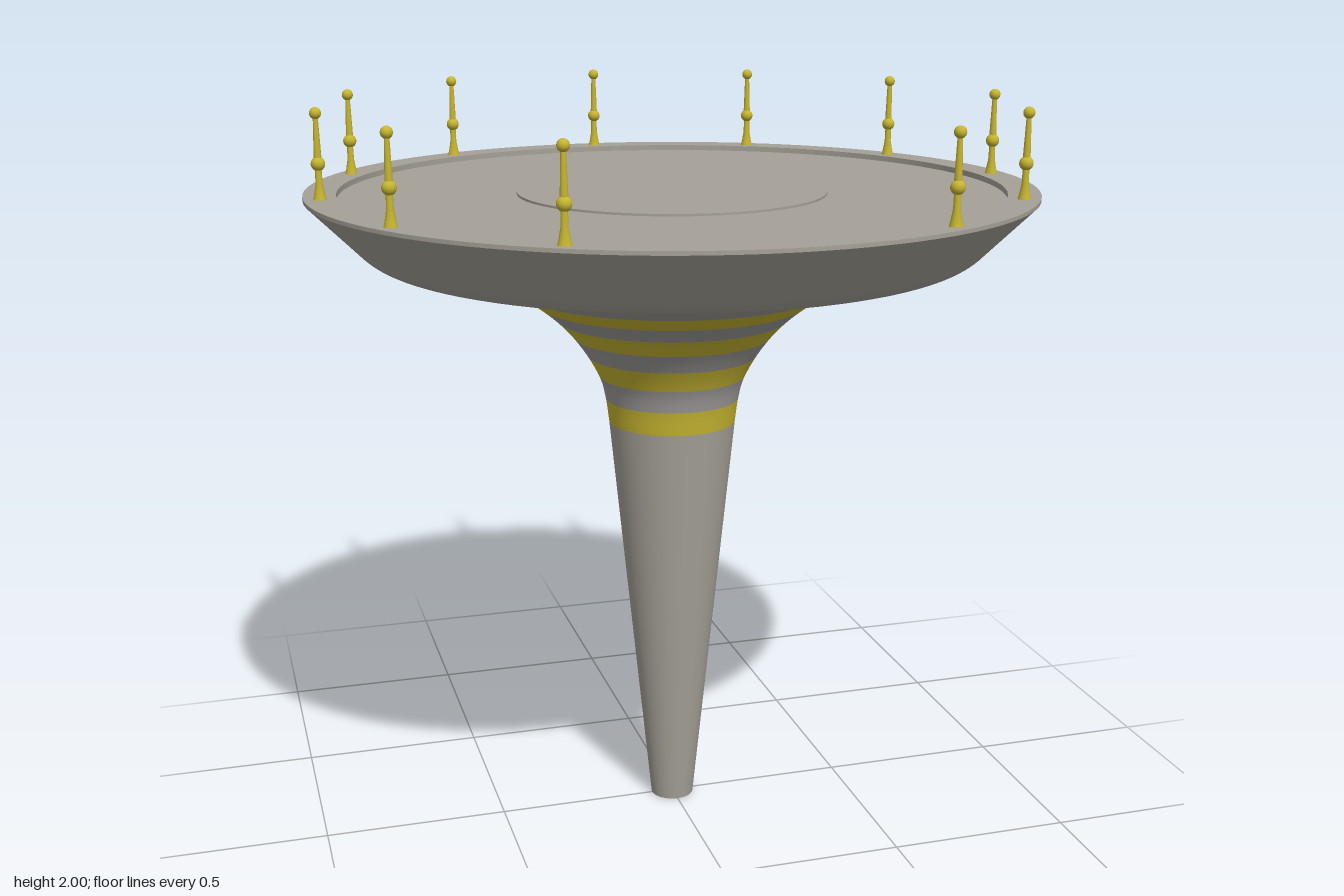
import * as THREE from 'three';

const SEG = 96;

export function createModel() {
  const model = new THREE.Group();
  const mat = (name, color) => {
    const m = new THREE.MeshStandardMaterial({ color });
    m.name = name;
    return m;
  };
  const concrete = mat('warm grey', 0xa5a197);
  const stripeGrey = mat('neutral grey', 0x9c9b99);
  const yellow = mat('mustard yellow', 0xc6b531);

  const add = (parent, name, geometry, material, y = 0) => {
    const mesh = new THREE.Mesh(geometry, material);
    mesh.name = name;
    mesh.position.y = y;
    parent.add(mesh);
    return mesh;
  };
  const lathe = (pts, seg = SEG) =>
    new THREE.LatheGeometry(pts.map((p) => (p.isVector2 ? p : new THREE.Vector2(p[0], p[1]))), seg);

  // Tapered stem with a closed foot
  add(model, 'stem', lathe([[0.06, 0], [0.173, 1.13]]), concrete);
  add(model, 'stemFoot', lathe([[0, 0], [0.06, 0]]), concrete);

  // Flared neck, cut into equal alternating bands along its curve
  const flare = new THREE.CatmullRomCurve3([
    [0.173, 1.13], [0.181, 1.19], [0.196, 1.25], [0.254, 1.35], [0.333, 1.435],
    [0.466, 1.525], [0.58, 1.57], [0.665, 1.585],
  ].map(([r, y]) => new THREE.Vector3(r, y, 0)));
  const bands = 11, steps = 6;
  for (let i = 0; i < bands; i++) {
    const pts = [];
    for (let j = 0; j <= steps; j++) {
      const p = flare.getPointAt((i + j / steps) / bands);
      pts.push(new THREE.Vector2(p.x, p.y));
    }
    const even = i % 2 === 0;
    add(model, even ? 'yellowBand' : 'greyBand', lathe(pts), even ? yellow : stripeGrey);
  }

  // Dish: rounded underside, thin lip, flat rim and shallow recessed floor
  const bend = new THREE.QuadraticBezierCurve(
    new THREE.Vector2(0.72, 1.585), new THREE.Vector2(0.79, 1.585), new THREE.Vector2(0.835, 1.635));
  add(model, 'dishUnderside', lathe([[0.665, 1.585], ...bend.getPoints(10), [0.9, 1.7], [0.96, 1.76]]), concrete);
  add(model, 'dishLip', lathe([[0.96, 1.76], [0.96, 1.77]]), concrete);
  add(model, 'dishRim', lathe([[0.96, 1.77], [0.875, 1.77]]), concrete);
  add(model, 'recessWall', lathe([[0.875, 1.77], [0.875, 1.755]]), concrete);
  add(model, 'dishFloor', lathe([[0.875, 1.755], [0, 1.755]]), concrete);
  add(model, 'centreDisc', new THREE.CylinderGeometry(0.41, 0.41, 0.006, SEG), concrete, 1.758);

  // Eleven posts on the rim, thirty degrees apart, leaving a gap at the front
  const base = lathe([[0.017, 0], [0.014, 0.012], [0.009, 0.04], [0.008, 0.09]], 16);
  const knob = new THREE.SphereGeometry(0.018, 16, 12);
  const shaft = new THREE.CylinderGeometry(0.006, 0.01, 0.12, 16);
  const tip = new THREE.SphereGeometry(0.015, 16, 12);
  for (let i = 0; i < 12; i++) {
    if (i === 6) continue;
    const a = THREE.MathUtils.degToRad(30 * i + 0.75);
    const post = new THREE.Group();
    post.name = 'railPost';
    post.position.set(Math.sin(a) * 0.918, 1.77, -Math.cos(a) * 0.918);
    add(post, 'postBase', base, yellow);
    add(post, 'postKnob', knob, yellow, 0.09);
    add(post, 'postShaft', shaft, yellow, 0.152);
    add(post, 'postTip', tip, yellow, 0.215);
    model.add(post);
  }
  return model;
}
